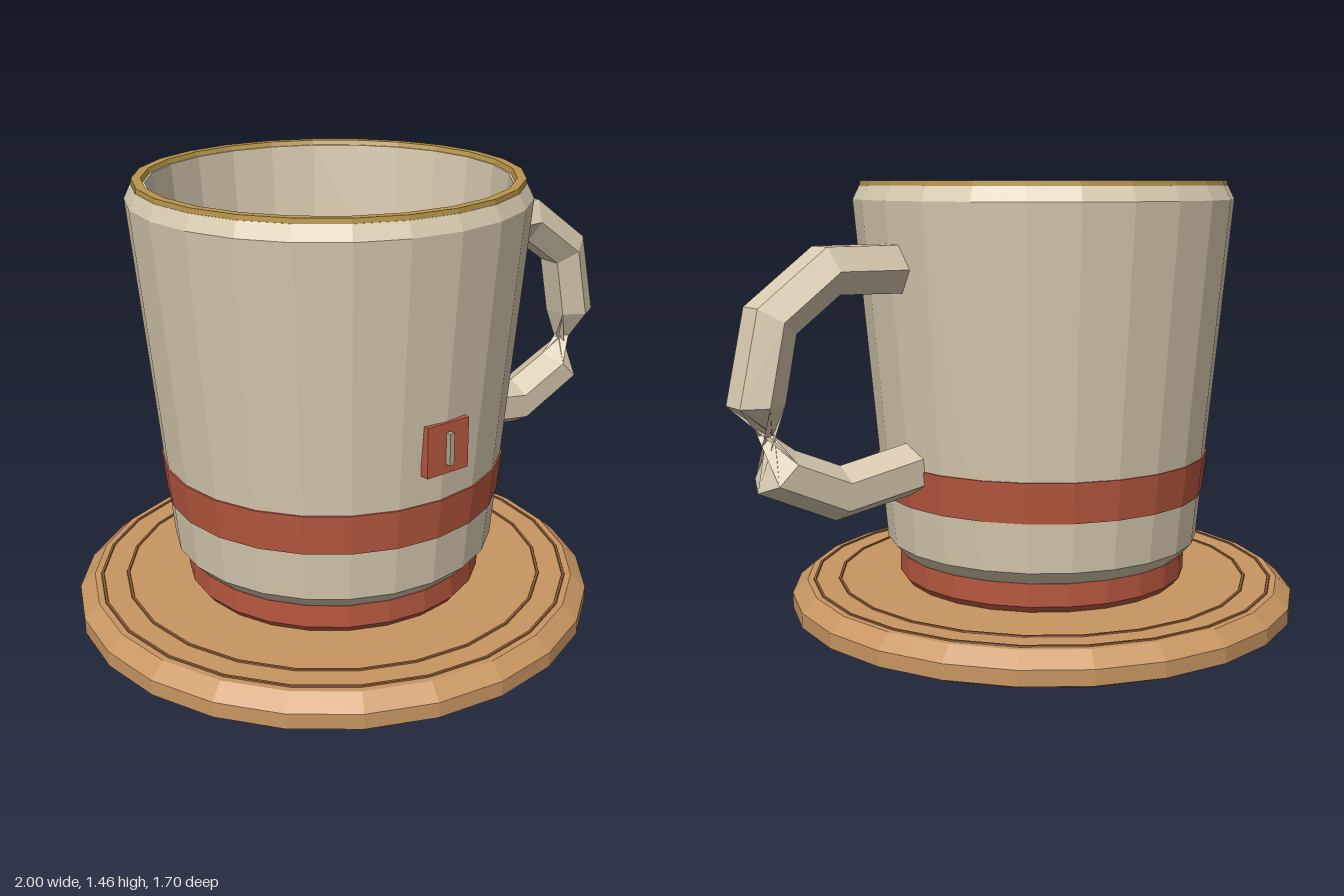
import * as THREE from 'three';

const SIDES = 24;

function mat(color) {
  return new THREE.MeshStandardMaterial({ color, flatShading: true });
}

const CREAM = mat(0xd8cab0);
const RED = mat(0xb8583f);
const GOLD = mat(0xb8964a);
const WOOD = mat(0xc89662);
const DARK_WOOD = mat(0x8a5a35);
const GREY = mat(0xb0a690);

function add(group, name, geometry, material) {
  const mesh = new THREE.Mesh(geometry, material);
  mesh.name = name;
  group.add(mesh);
  return mesh;
}

// Profile of [radius, height] pairs, turned about the cup axis
function turned(profile) {
  return new THREE.LatheGeometry(profile.map(([r, y]) => new THREE.Vector2(r, y)), SIDES);
}

// Six-sided tube along a path in the xy plane, with a roll angle at each ring
function hexTube(path, rolls, radius) {
  const N = 6;
  const pos = [];
  const index = [];
  path.forEach(([x, y], i) => {
    const a = path[Math.max(i - 1, 0)];
    const b = path[Math.min(i + 1, path.length - 1)];
    const t = new THREE.Vector2(b[0] - a[0], b[1] - a[1]).normalize();
    for (let j = 0; j < N; j++) {
      const ang = (j / N) * Math.PI * 2 + rolls[i];
      const out = Math.sin(ang) * radius;
      pos.push(x - t.y * out, y + t.x * out, Math.cos(ang) * radius);
    }
  });
  for (let i = 0; i < path.length - 1; i++) {
    for (let j = 0; j < N; j++) {
      const p = i * N + j;
      const q = i * N + ((j + 1) % N);
      index.push(p, p + N, q, q, p + N, q + N);
    }
  }
  const g = new THREE.BufferGeometry();
  g.setAttribute('position', new THREE.Float32BufferAttribute(pos, 3));
  g.setIndex(index);
  g.computeVertexNormals();
  return g;
}

export function createModel() {
  const model = new THREE.Group();
  model.name = 'mugOnCoaster';

  // Everything turned shares one axis, left of the centre to make room for the handle
  const round = new THREE.Group();
  round.name = 'mug';
  round.position.x = -0.15;
  model.add(round);

  // Coaster with bevelled edge and two inlaid rings
  add(round, 'coaster', turned([
    [0, 0], [0.77, 0], [0.85, 0.035], [0.85, 0.085], [0.8, 0.128], [0, 0.128],
  ]), WOOD);
  for (const r of [0.69, 0.775]) {
    add(round, 'coasterRing', turned([
      [r + 0.006, 0.126], [r + 0.004, 0.132], [r - 0.004, 0.132], [r - 0.006, 0.126],
    ]), DARK_WOOD);
  }

  // Foot ring
  add(round, 'foot', turned([
    [0, 0.125], [0.465, 0.125], [0.485, 0.15], [0.485, 0.225], [0, 0.225],
  ]), RED);

  // Hollow body: up the outside, over the lip and down the inside
  add(round, 'body', turned([
    [0, 0.222], [0.48, 0.222], [0.525, 0.27], [0.625, 1.395], [0.603, 1.44],
    [0.56, 1.44], [0.535, 1.15], [0.45, 0.36], [0.4, 0.3], [0, 0.3],
  ]), CREAM);

  // Painted band and gilded lip
  add(round, 'band', turned([
    [0.537, 0.43], [0.543, 0.43], [0.556, 0.56], [0.549, 0.56],
  ]), RED);
  add(round, 'rim', turned([
    [0.602, 1.435], [0.6, 1.455], [0.572, 1.455], [0.565, 1.435],
  ]), GOLD);

  // Small square tag with a raised bar
  add(round, 'tag', new THREE.BoxGeometry(0.155, 0.16, 0.03), RED).position.set(0, 0.74, 0.567);
  add(round, 'tagBar', new THREE.BoxGeometry(0.016, 0.1, 0.025), GREY).position.set(0, 0.74, 0.588);

  // Handle, with a sharp twist between the fourth and fifth rings
  const twist = -Math.PI * 5 / 6;
  add(model, 'handle', hexTube(
    [[0.42, 1.19], [0.685, 1.195], [0.875, 1.06], [0.928, 0.82], [0.868, 0.615], [0.66, 0.52], [0.385, 0.56]],
    [0, 0, 0, 0, twist, twist, twist],
    0.085,
  ), CREAM);

  return model;
}
